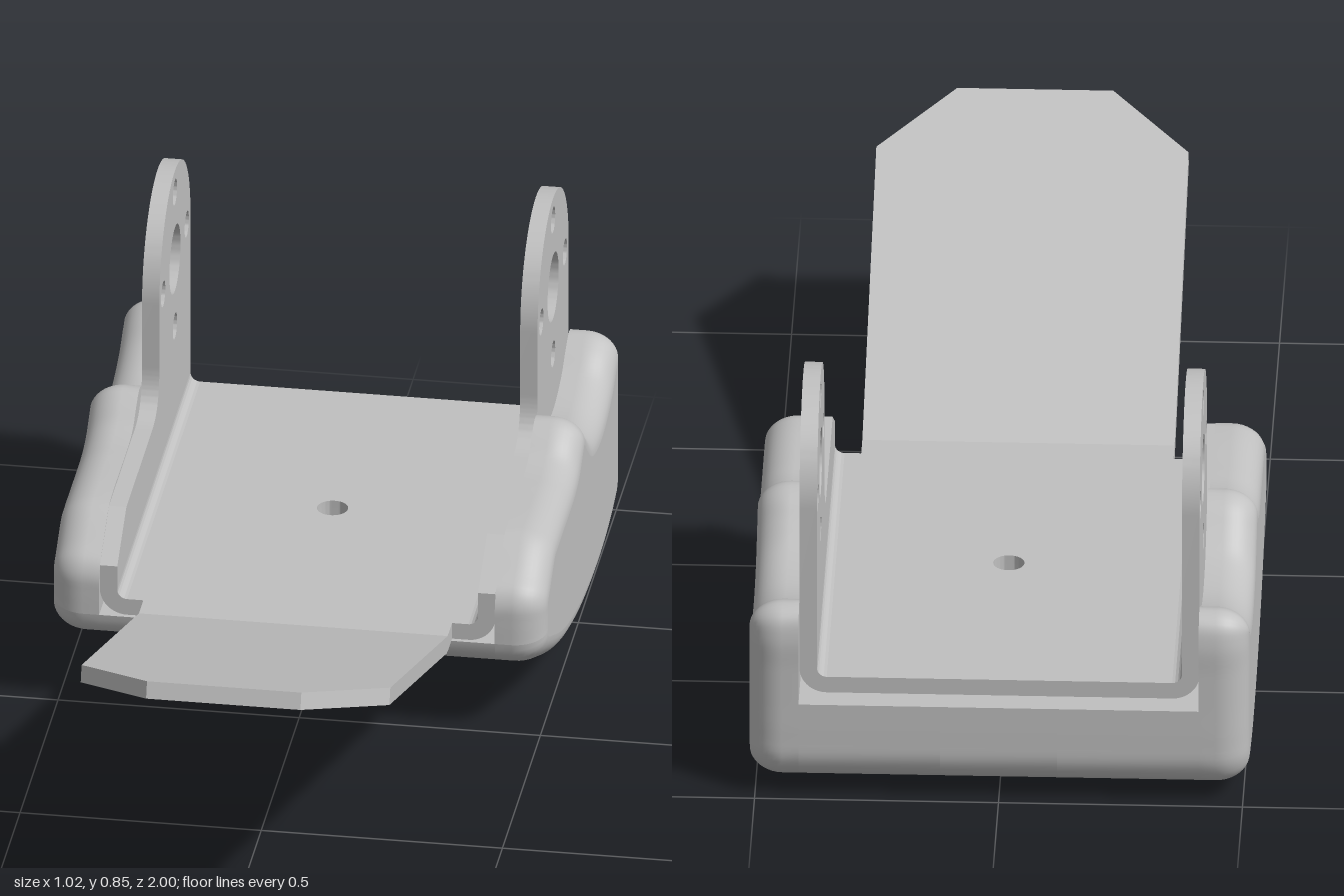
import * as THREE from 'three';
import { toCreasedNormals } from 'three/addons/utils/BufferGeometryUtils.js';

const grey = new THREE.MeshStandardMaterial({ color: 0xc0c0c0, side: THREE.DoubleSide });
grey.name = 'metal grey';

const T = 0.036;      // sheet thickness
const INNER = 0.41;   // inner face of the side walls
const OUTER = 0.512;  // outer face of the side walls
const FLOOR = 0.22;   // top of the base floor
const HOLE_Z = -0.44; // screw hole position

// Surface through rows of [x, y, z] points
function grid(rows) {
  const n = rows[0].length, index = [];
  for (let i = 0; i < rows.length - 1; i++) {
    for (let j = 0; j < n - 1; j++) {
      const a = i * n + j, b = a + n;
      index.push(a, b, a + 1, b, b + 1, a + 1);
    }
  }
  const g = new THREE.BufferGeometry();
  g.setAttribute('position', new THREE.Float32BufferAttribute(rows.flat(2), 3));
  g.setIndex(index);
  g.computeVertexNormals();
  return g;
}

function curve(points, count) {
  return new THREE.CatmullRomCurve3(points.map(([z, y]) => new THREE.Vector3(z, y, 0)))
    .getSpacedPoints(count).map(p => new THREE.Vector2(p.x, p.y));
}

function circle(shape, x, y, r) {
  shape.holes.push(new THREE.Path().absarc(x, y, r, 0, Math.PI * 2, true));
}

function extrude(shape, depth) {
  const g = new THREE.ExtrudeGeometry(shape, { depth, bevelEnabled: false, curveSegments: 32 });
  return toCreasedNormals(g, 0.5);
}

export function createModel() {
  const model = new THREE.Group();
  model.name = 'bracketOnBase';
  const add = (name, geometry, parent = model) => {
    const mesh = new THREE.Mesh(geometry, grey);
    mesh.name = name;
    parent.add(mesh);
    return mesh;
  };

  // Side outline of the base as (z, y): underside front to back, then wall top back to front
  const under = curve([[0.03, FLOOR], [0.024, 0.195], [0, 0.17], [-0.07, 0.135], [-0.2, 0.08], [-0.34, 0.04],
    [-0.5, 0.012], [-0.69, 0], [-0.82, 0.007], [-0.93, 0.029], [-0.975, 0.05], [-0.997, 0.09], [-1, 0.14],
    [-1, FLOOR]], 90);
  const over = curve([[-1, FLOOR], [-1, 0.3], [-1, 0.37], [-0.988, 0.413], [-0.955, 0.432], [-0.91, 0.417],
    [-0.85, 0.382], [-0.74, 0.36], [-0.635, 0.378], [-0.58, 0.418], [-0.54, 0.453], [-0.5, 0.466],
    [-0.46, 0.448], [-0.42, 0.421], [-0.37, 0.411], [-0.3, 0.41], [-0.14, 0.41], [-0.1, 0.405],
    [-0.02, 0.357], [0.012, 0.335], [0.028, 0.305], [0.03, 0.27], [0.03, FLOOR]], 120);
  const outline = [...under.slice(0, -1), ...over.slice(0, -1)];
  const N = outline.length;

  // Outline moved inwards, with softened normals
  const inset = d => outline.map((p, i) => {
    const t = new THREE.Vector2();
    for (let k = 1; k <= 5; k++) {
      t.add(outline[(i + k) % N]).sub(outline[(i - k + N) % N]);
    }
    t.normalize();
    return new THREE.Vector2(p.x + t.y * d, p.y - t.x * d);
  });

  const base = new THREE.Group();
  base.name = 'base';
  model.add(base);

  // Side walls with rounded outer edges
  const R = 0.068, D = 0.055, STEPS = 10;
  for (const s of [1, -1]) {
    const sections = [[INNER, 0]];
    for (let i = 0; i <= STEPS; i++) {
      const a = i / STEPS * Math.PI / 2;
      sections.push([OUTER - R + R * Math.sin(a), D * (1 - Math.cos(a))]);
    }
    const side = s > 0 ? 'left' : 'right';
    add(side + 'Wall', grid(sections.map(([x, d]) => {
      const ring = inset(d);
      return [...ring, ring[0]].map(p => [s * x, p.y, p.x]);
    })), base);
    for (const [x, d, label] of [[INNER, 0, 'Inner'], [OUTER, D, 'Outer']]) {
      const cap = new THREE.ShapeGeometry(new THREE.Shape(inset(d)));
      add(side + label + 'Face', cap.rotateY(-Math.PI / 2).translate(s * x, 0, 0), base);
    }
  }

  // Underside strips around a square patch that holds the bore
  const H = 0.12, BORE = 0.09;
  const i0 = under.findIndex(p => p.x < HOLE_Z + H), i1 = under.findIndex(p => p.x < HOLE_Z - H);
  const strip = (xa, xb, pts) => add('underside', grid([xa, xb].map(x => pts.map(p => [x, p.y, p.x]))), base);
  strip(-INNER, -H, under);
  strip(H, INNER, under);
  strip(-H, H, under.slice(0, i0 + 1));
  strip(-H, H, under.slice(i1));

  const heightAt = z => {
    const i = Math.max(1, under.findIndex(p => p.x <= z));
    const a = under[i - 1], b = under[i];
    return a.y + (b.y - a.y) * (z - a.x) / (b.x - a.x);
  };
  const zFront = under[i0].x, zBack = under[i1].x;
  const rim = (t, wall) => Array.from({ length: 65 }, (_, i) => {
    const a = i / 64 * Math.PI * 2, c = Math.cos(a), q = Math.sin(a);
    const m = Math.max(Math.abs(c), Math.abs(q));
    const squareZ = (zFront + zBack) / 2 + q / m * (zFront - zBack) / 2;
    const x = THREE.MathUtils.lerp(BORE * c, H * c / m, t);
    const z = THREE.MathUtils.lerp(HOLE_Z + BORE * q, squareZ, t);
    return [x, wall ? FLOOR : heightAt(z), z];
  });
  add('boreSurround', grid([rim(0), rim(0.33), rim(0.67), rim(1)]), base);
  add('boreWall', grid([rim(0), rim(0, true)]), base);

  // Base floor, open over the bore
  const floor = new THREE.Shape([[-INNER, -1], [INNER, -1], [INNER, 0.03], [-INNER, 0.03]]
    .map(p => new THREE.Vector2(...p)));
  circle(floor, 0, HOLE_Z, BORE);
  add('floor', new THREE.ShapeGeometry(floor, 32).rotateX(Math.PI / 2).translate(0, FLOOR, 0), base);

  // Sheet metal bracket
  const bracket = new THREE.Group();
  bracket.name = 'bracket';
  model.add(bracket);
  const BACK = -0.945, FRONT = 0.02, RI = 0.02, RO = RI + T;
  const bendX = INNER - RO, bendY = FLOOR + RO;

  // Bottom plate with the start of the tongue
  const plate = new THREE.Shape([[-bendX, BACK], [bendX, BACK], [bendX, FRONT], [0.32, FRONT], [0.32, 0.078],
    [-0.32, 0.078], [-0.32, FRONT], [-bendX, FRONT]].map(p => new THREE.Vector2(...p)));
  circle(plate, 0, HOLE_Z, 0.032);
  add('bottomPlate', extrude(plate, T).rotateX(Math.PI / 2).translate(0, FLOOR + T, 0), bracket);

  // Upright flange with a round drilled ear
  const EZ = -0.74, EY = 0.645, ER = 0.205;
  const ear = new THREE.Shape();
  ear.moveTo(BACK, bendY);
  ear.lineTo(FRONT, bendY);
  ear.lineTo(FRONT, 0.33);
  ear.lineTo(-0.1, 0.405);
  ear.lineTo(-0.44, 0.405);
  ear.quadraticCurveTo(EZ + ER, 0.405, EZ + ER, 0.5);
  ear.lineTo(EZ + ER, EY);
  ear.absarc(EZ, EY, ER, 0, Math.PI, false);
  ear.closePath();
  circle(ear, EZ, EY, 0.073);
  for (let i = 0; i < 4; i++) {
    const a = i * Math.PI / 2;
    circle(ear, EZ + 0.155 * Math.cos(a), EY + 0.155 * Math.sin(a), 0.028);
  }
  for (const s of [1, -1]) {
    const side = s > 0 ? 'left' : 'right';
    add(side + 'Ear', extrude(ear, T).rotateY(-Math.PI / 2).translate(s > 0 ? INNER : T - INNER, 0, 0), bracket);
    // Rounded fold between plate and flange
    const a0 = s > 0 ? -Math.PI / 2 : Math.PI, a1 = a0 + Math.PI / 2;
    const fold = new THREE.Shape();
    fold.absarc(s * bendX, bendY, RO, a0, a1, false);
    fold.absarc(s * bendX, bendY, RI, a1, a0, true);
    fold.closePath();
    add(side + 'Fold', extrude(fold, FRONT - BACK).translate(0, 0, BACK), bracket);
  }

  // Sloping tongue with clipped corners
  const L = 0.975, tilt = THREE.MathUtils.degToRad(20);
  const tongue = new THREE.Shape([[-0.32, 0], [0.32, 0], [0.32, L - 0.165], [0.16, L], [-0.16, L],
    [-0.32, L - 0.165]].map(p => new THREE.Vector2(...p)));
  const tongueMesh = add('tongue', extrude(tongue, T), bracket);
  tongueMesh.rotation.x = Math.PI / 2 - tilt;
  tongueMesh.position.set(0, FLOOR + T * Math.cos(tilt), 0.084 - T * Math.sin(tilt));

  return model;
}
